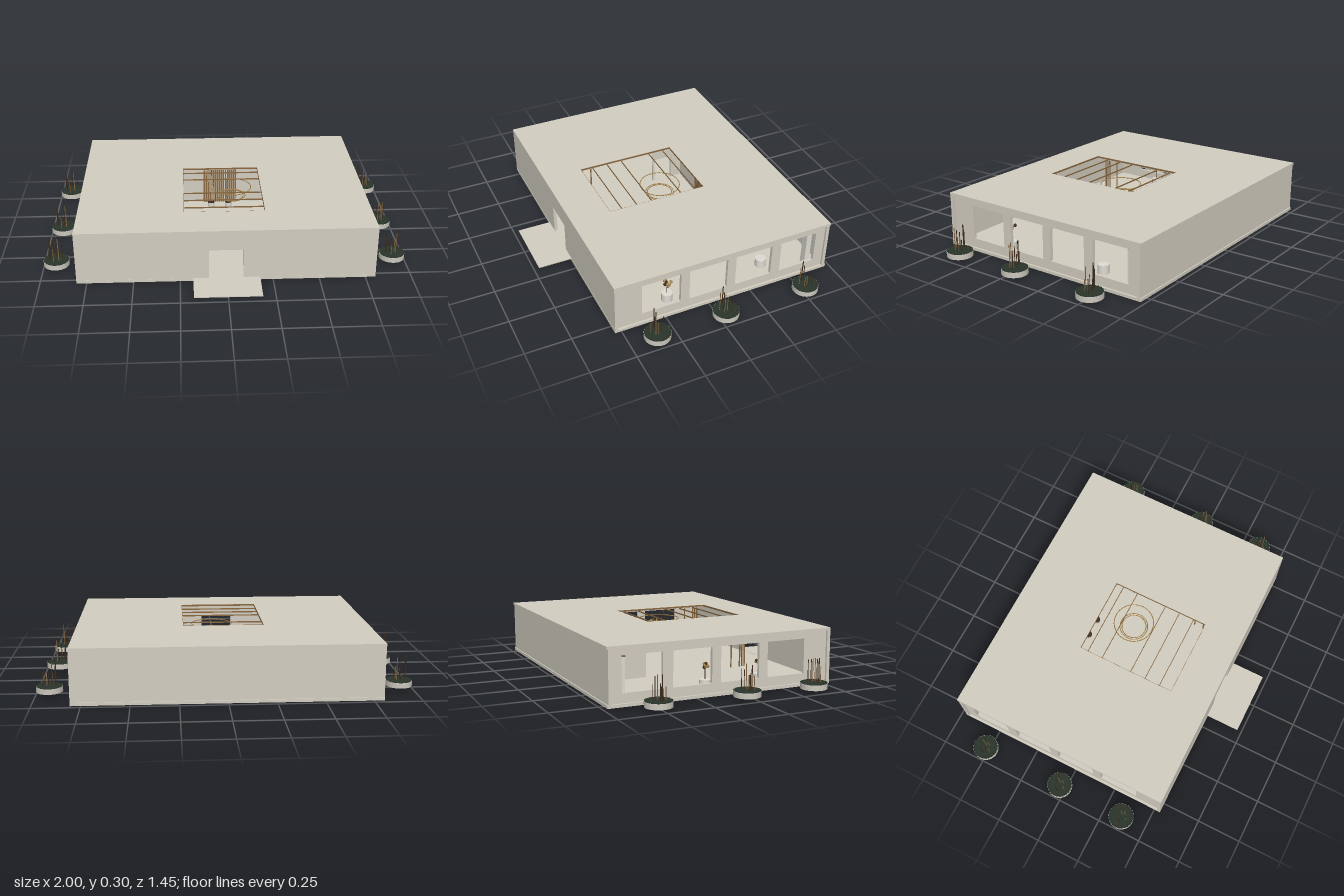
import * as THREE from 'three';

export function createModel() {
  const model = new THREE.Group();
  model.position.z = 0.005;
  const mat = (name, color) => {
    const m = new THREE.MeshStandardMaterial({ color });
    m.name = name;
    return m;
  };
  const concrete = mat('concrete', 0xd3cec1);
  const planterGrey = mat('planter grey', 0xccc8be);
  const wood = mat('wood', 0x8a6840);
  const gold = mat('brass', 0xab8850);
  const stemBrown = mat('stem brown', 0x3f2e1f);
  const leafGreen = mat('leaf green', 0x2b352a);
  const white = mat('off white', 0xdedbd3);

  const add = (name, geo, material, x = 0, y = 0, z = 0, parent = model) => {
    const m = new THREE.Mesh(geo, material);
    m.name = name;
    m.position.set(x, y, z);
    parent.add(m);
    return m;
  };
  const box = (name, material, x0, x1, y0, y1, z0, z1) =>
    add(name, new THREE.BoxGeometry(x1 - x0, y1 - y0, z1 - z0), material,
      (x0 + x1) / 2, (y0 + y1) / 2, (z0 + z1) / 2);
  const cyl = (name, r, h, material, x, y, z, parent = model, sides = 32) =>
    add(name, new THREE.CylinderGeometry(r, r, h, sides), material, x, y + h / 2, z, parent);
  const rectPath = (P, x0, x1, y0, y1) => {
    const p = new P();
    p.moveTo(x0, y0); p.lineTo(x1, y0); p.lineTo(x1, y1); p.lineTo(x0, y1); p.closePath();
    return p;
  };
  // flat panel with rectangular openings
  const panel = (outer, holes, depth) => {
    const s = rectPath(THREE.Shape, ...outer);
    s.holes = holes.map(h => rectPath(THREE.Path, ...h));
    return new THREE.ExtrudeGeometry(s, { depth, bevelEnabled: false });
  };
  let seed = 7;
  const rnd = () => (seed = (seed * 16807) % 2147483647) / 2147483647;

  // shell: floor, roof with skylight, walls
  box('floor', concrete, -0.805, 0.805, 0, 0.016, -0.73, 0.53);
  add('roof', panel([-0.805, 0.805, -0.53, 0.73], [[-0.225, 0.22, -0.305, 0.265]], 0.014)
    .rotateX(-Math.PI / 2), concrete, 0, 0.286, 0);
  add('frontWall', panel([-0.805, 0.805, 0.016, 0.286], [[-0.095, 0.09, 0.0165, 0.185]], 0.018),
    concrete, 0, 0, 0.511);
  box('backWall', concrete, -0.805, 0.805, 0.016, 0.286, -0.724, -0.706);
  const windows = [[0.155, 0.375], [-0.115, 0.105], [-0.38, -0.165], [-0.65, -0.435]];
  for (const s of [-1, 1]) {
    add('sideWall', panel([-0.511, 0.706, 0.016, 0.286],
      windows.map(([a, b]) => [-b, -a, 0.066, 0.251]), 0.018).rotateY(Math.PI / 2),
    concrete, s * 0.784 - 0.009, 0, 0);
    // inner partition with a doorway
    add('partition', panel([0.2, 0.706, 0.016, 0.286], [[0.21, 0.32, 0.0165, 0.167]], 0.012)
      .rotateY(Math.PI / 2), concrete, s * 0.32 - 0.006, 0, 0);
    // slim posts beside the courtyard and a narrow cabinet at the back
    for (const z of [0.3, 0.285, 0.27, 0.215])
      box('post', wood, s * 0.3 - 0.003, s * 0.3 + 0.003, 0.016, 0.286, z - 0.003, z + 0.003);
    box('cabinet', white, s * 0.74 - 0.02, s * 0.74 + 0.02, 0.016, 0.235, -0.65, -0.62);
    box('cabinetTop', wood, s * 0.74 - 0.022, s * 0.74 + 0.022, 0.235, 0.241, -0.652, -0.618);
  }
  box('innerBackWall', concrete, -0.314, 0.314, 0.016, 0.286, -0.4, -0.387);
  box('entrancePlate', concrete, -0.18, 0.18, 0.0125, 0.0175, 0.53, 0.72);

  // skylight beams and trim
  for (const z of [-0.22, -0.13, 0.05, 0.14, 0.23])
    box('skylightBeam', wood, -0.225, 0.22, 0.284, 0.291, z - 0.0015, z + 0.0015);
  for (const z of [-0.264, 0.304])
    box('skylightTrim', wood, -0.225, 0.22, 0.29, 0.2995, z - 0.001, z + 0.001);
  for (const x of [-0.224, 0.219])
    box('skylightTrim', wood, x - 0.001, x + 0.001, 0.29, 0.2995, -0.265, 0.305);

  // ring lamps under the skylight
  for (const [r, y] of [[0.113, 0.268], [0.08, 0.213], [0.07, 0.213]])
    add('ringLamp', new THREE.TorusGeometry(r, 0.0025, 6, 48).rotateX(Math.PI / 2), gold, 0.055, y, -0.07);

  // wooden slat screen facing the entrance, with two stools
  for (let i = 0; i < 17; i++) {
    const x = -0.096 + i * 0.012;
    box('screenSlat', wood, x - 0.004, x + 0.004, 0.016, 0.25, -0.387, -0.379);
  }
  for (const x of [-0.055, 0.05]) {
    cyl('stool', 0.02, 0.03, white, x, 0.016, -0.32);
    cyl('stoolSeat', 0.021, 0.006, stemBrown, x, 0.046, -0.32);
  }

  // side tables, some with flower clusters
  const table = (x, z, flowers) => {
    cyl('sideTable', 0.03, 0.048, white, x, 0.016, z);
    if (!flowers) return;
    cyl('flowerStem', 0.002, 0.06, stemBrown, x, 0.064, z, model, 6);
    for (let i = 0; i < 9; i++)
      add('flower', new THREE.SphereGeometry(0.009, 8, 6), i % 3 ? gold : stemBrown,
        x + (rnd() - 0.5) * 0.05, 0.12 + rnd() * 0.03, z + (rnd() - 0.5) * 0.04);
  };
  table(0.7, 0.19, true);
  table(-0.68, 0.17, true);
  table(-0.685, -0.15, true);
  table(0.66, -0.4, false);

  // round planters with ground cover and thin stems
  for (const x of [-0.928, 0.928]) {
    for (const z of [-0.52, -0.04, 0.35]) {
      const planter = new THREE.Group();
      planter.name = 'planter';
      planter.position.set(x, 0, z);
      model.add(planter);
      cyl('planterBowl', 0.07, 0.029, planterGrey, 0, 0.018, 0, planter, 40);
      cyl('groundCover', 0.068, 0.002, leafGreen, 0, 0.047, 0, planter, 40);
      for (let i = 0; i < 24; i++) {
        const a = i / 24 * Math.PI * 2;
        add('leafTuft', new THREE.SphereGeometry(0.007, 6, 4).scale(1, 0.25, 1), leafGreen,
          Math.cos(a) * 0.064, 0.0488, Math.sin(a) * 0.064, planter);
      }
      for (let i = 0; i < 7; i++) {
        const a = i * 2.4, r = 0.012 + 0.005 * i;
        cyl('stem', 0.0022, 0.06 + rnd() * 0.07, i % 3 ? stemBrown : wood,
          Math.cos(a) * r, 0.049, Math.sin(a) * r * 0.8, planter, 6);
      }
      cyl('tallStem', 0.003, 0.131, stemBrown, -0.035, 0.049, 0.005, planter, 6);
    }
  }
  return model;
}
